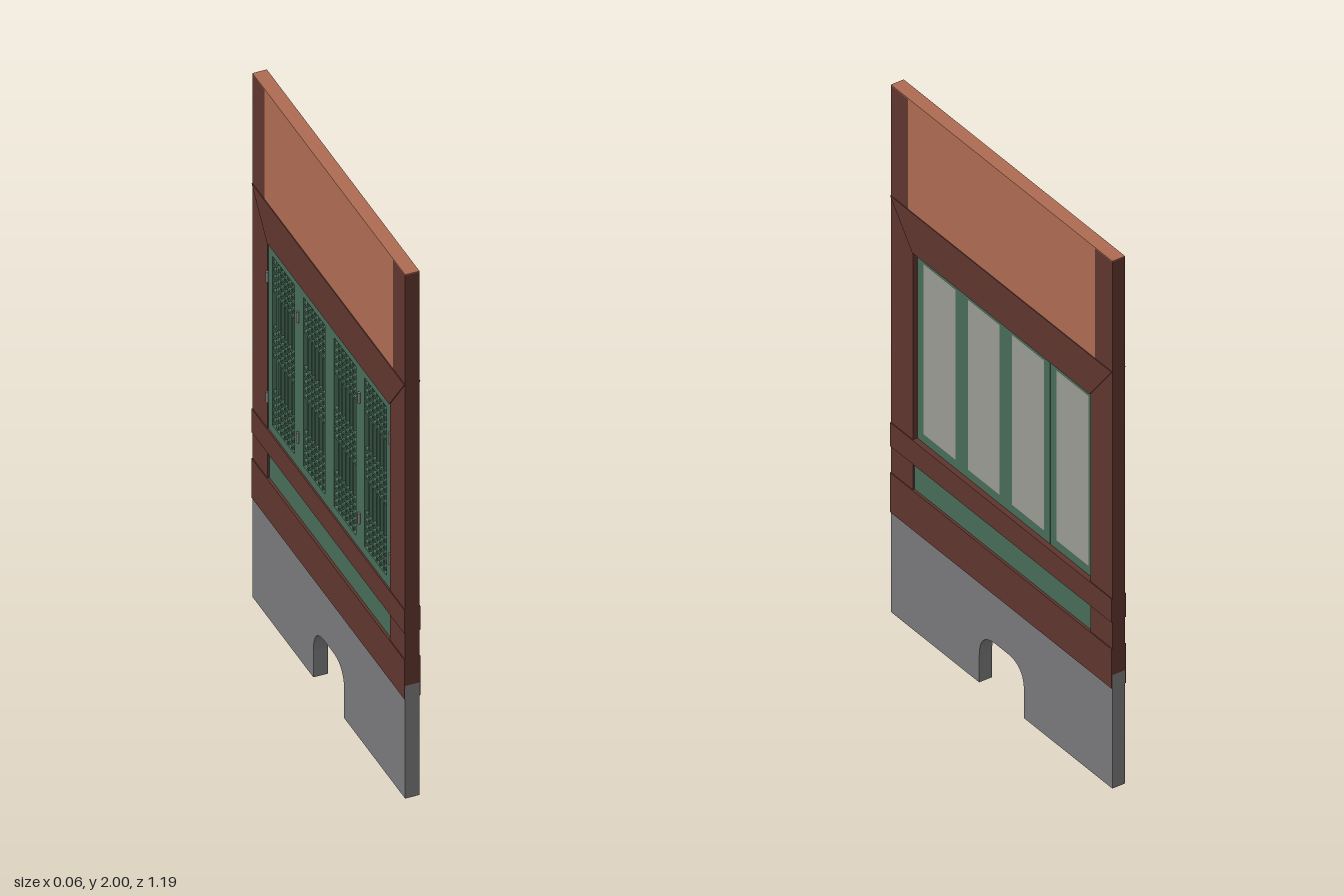
import * as THREE from 'three';

const mat = (name, color) => {
  const m = new THREE.MeshStandardMaterial({ color });
  m.name = name;
  return m;
};

export function createModel() {
  const wood = mat('dark red timber', 0x5e352d);
  const plaster = mat('terracotta plaster', 0xad6b51);
  const green = mat('green paint', 0x486b58);
  const paper = mat('window paper', 0x9a9a93);
  const stone = mat('grey stone', 0x78787a);

  const root = new THREE.Group();
  root.name = 'wallPanel';
  const wall = new THREE.Group();
  wall.name = 'wall';
  wall.position.x = 0.0015;
  root.add(wall);

  const T = 0.0245;   // half thickness of the wall
  const R = 0.0275;   // half thickness at the raised rails
  const W = 0.593;    // half length
  const IN = 0.475;   // half width of the window opening

  // Box given by its limits on each axis
  const box = (name, m, x0, x1, y0, y1, z0, z1, parent = wall) => {
    const mesh = new THREE.Mesh(new THREE.BoxGeometry(x1 - x0, y1 - y0, z1 - z0), m);
    mesh.position.set((x0 + x1) / 2, (y0 + y1) / 2, (z0 + z1) / 2);
    mesh.name = name;
    parent.add(mesh);
    return mesh;
  };

  // Outline in (z, y), extruded through x from -half to +half
  const slab = (name, m, shape, half) => {
    const g = new THREE.ExtrudeGeometry(shape, { depth: 2 * half, bevelEnabled: false, curveSegments: 10 });
    g.translate(0, 0, -half);
    g.rotateY(-Math.PI / 2);
    const mesh = new THREE.Mesh(g, m);
    mesh.name = name;
    wall.add(mesh);
  };

  // Stone base with arched opening
  const base = new THREE.Shape();
  base.moveTo(-W, 0);
  base.lineTo(-0.12, 0);
  base.lineTo(-0.12, 0.1);
  base.bezierCurveTo(-0.12, 0.165, -0.09, 0.195, -0.03, 0.195);
  base.lineTo(0.03, 0.195);
  base.bezierCurveTo(0.09, 0.195, 0.12, 0.165, 0.12, 0.1);
  base.lineTo(0.12, 0);
  base.lineTo(W, 0);
  base.lineTo(W, 0.43);
  base.lineTo(-W, 0.43);
  base.closePath();
  slab('stoneBase', stone, base, T);

  // Lower rail, with plates lapping over the stone on both faces
  box('lowerRail', wood, -T, T, 0.43, 0.53, -W, W);
  box('lowerRailPlate', wood, T, R, 0.38, 0.53, -W, W);
  box('lowerRailPlate', wood, -R, -T, 0.38, 0.53, -W, W);

  // Recessed skirting panel, window sill
  box('skirtingPanel', green, -0.018, 0.018, 0.53, 0.63, -IN, IN);
  box('sillRail', wood, -R, R, 0.63, 0.72, -W, W);

  // Lintel with mitred ends
  const lintel = new THREE.Shape();
  lintel.moveTo(-IN, 1.43);
  lintel.lineTo(IN, 1.43);
  lintel.lineTo(W, 1.58);
  lintel.lineTo(-W, 1.58);
  lintel.closePath();
  slab('lintel', wood, lintel, R);

  // Side posts
  for (const s of [-1, 1]) {
    const post = new THREE.Shape();
    post.moveTo(s * IN, 0.72);
    post.lineTo(s * W, 0.72);
    post.lineTo(s * W, 1.58);
    post.lineTo(s * IN, 1.43);
    post.closePath();
    slab('sidePost', wood, post, T);
    const span = (a, b) => (s > 0 ? [a, b] : [-b, -a]);
    box('lowerPost', wood, -T, T, 0.53, 0.63, ...span(IN, W));
    box('upperPost', wood, -T, T, 1.58, 1.997, ...span(0.5, W));
  }

  // Upper plaster field and its cap
  box('upperPanel', plaster, -T, T, 1.58, 1.997, -0.5, 0.5);
  box('topCap', plaster, -T, T, 1.997, 2, -W, W);

  // Four window leaves
  const y0 = 0.72, y1 = 1.43, leafW = IN / 2, rim = 0.033;
  const xa = -0.022, xb = 0.008;
  for (let i = 0; i < 4; i++) {
    const leaf = new THREE.Group();
    leaf.name = 'windowLeaf';
    wall.add(leaf);
    const za = -IN + i * leafW + 0.0008, zb = za + leafW - 0.0016;
    const pa = za + rim, pb = zb - rim, qa = y0 + rim, qb = y1 - rim;
    box('leafStile', green, xa, xb, y0, y1, za, pa, leaf);
    box('leafStile', green, xa, xb, y0, y1, pb, zb, leaf);
    box('leafRail', green, xa, xb, y0, qa, pa, pb, leaf);
    box('leafRail', green, xa, xb, qb, y1, pa, pb, leaf);
    box('windowPane', paper, -0.002, xb, qa, qb, pa, pb, leaf);

    // Lattice: upright bars with three clusters of crossbars
    const bar = 0.004;
    for (let k = 1; k <= 5; k++) {
      const z = pa + (k * (pb - pa)) / 6;
      box('latticeUpright', green, -0.019, -0.002, qa, qb, z - bar, z + bar, leaf);
    }
    for (const c of [qa + 0.075, (qa + qb) / 2, qb - 0.075]) {
      for (let k = -2; k <= 2; k++) {
        const y = c + k * 0.027;
        box('latticeCrossbar', green, -0.02, -0.002, y - bar, y + bar, pa, pb, leaf);
      }
    }
  }

  // Hinge pins on the lattice face
  for (const z of [-IN, -leafW, leafW, IN]) {
    for (const y of [0.84, 1.3]) {
      const pin = new THREE.Mesh(new THREE.CylinderGeometry(0.005, 0.005, 0.04, 10), stone);
      pin.position.set(-0.0263, y, z);
      pin.name = 'hingePin';
      wall.add(pin);
    }
  }
  return root;
}
